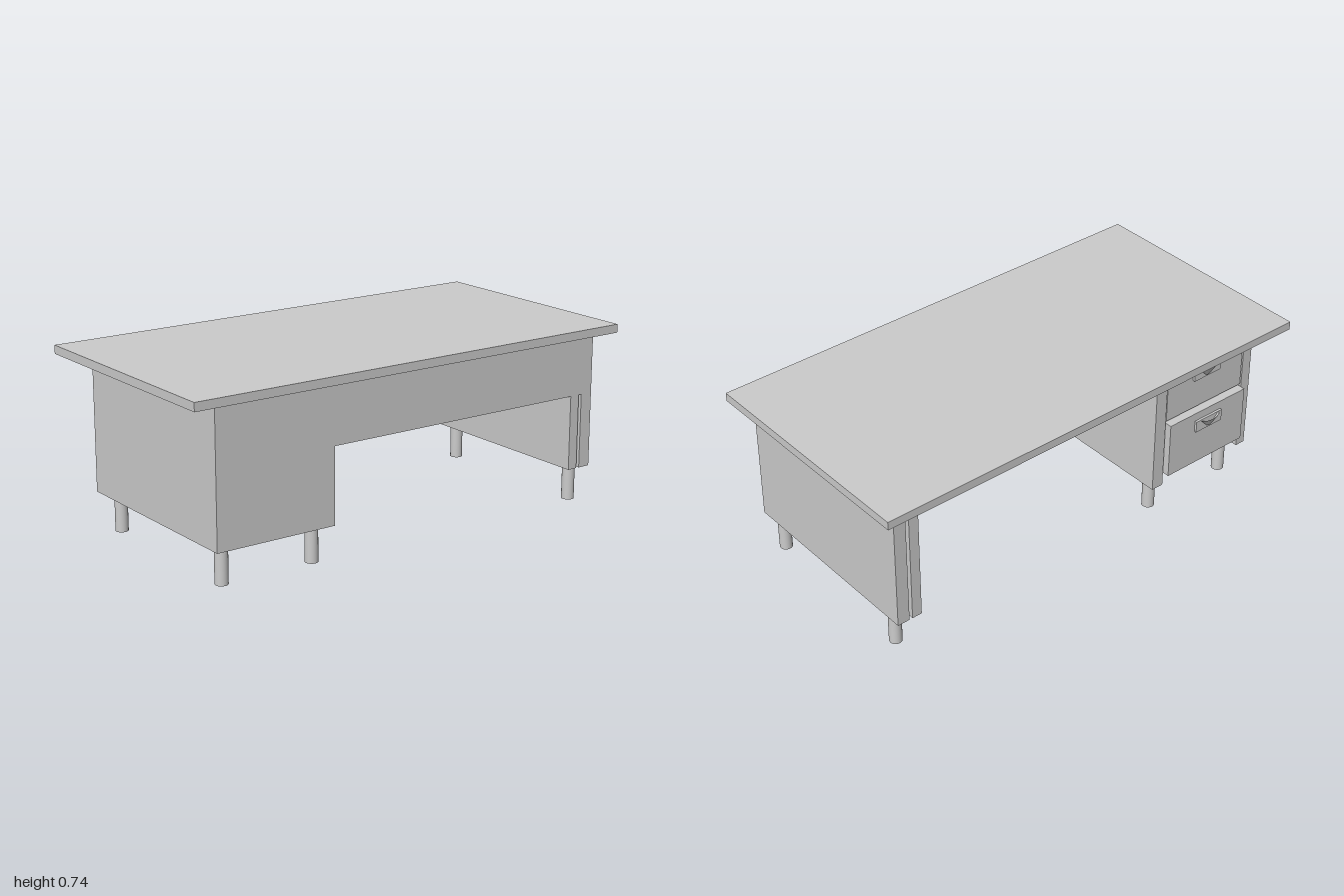
import * as THREE from 'three';

export function createModel() {
  const desk = new THREE.Group();
  desk.name = 'desk';
  const grey = new THREE.MeshStandardMaterial({ color: 0xcccccc });
  const greyDouble = new THREE.MeshStandardMaterial({ color: 0xcccccc, side: THREE.DoubleSide });

  // Box given by its limits on each axis
  const box = (name, x0, x1, y0, y1, z0, z1, parent = desk) => {
    const mesh = new THREE.Mesh(new THREE.BoxGeometry(x1 - x0, y1 - y0, z1 - z0), grey);
    mesh.position.set((x0 + x1) / 2, (y0 + y1) / 2, (z0 + z1) / 2);
    mesh.name = name;
    parent.add(mesh);
    return mesh;
  };

  const top = 0.705, base = 0.15, front = 0.465, back = -0.415;

  box('tabletop', -1, 1, top, 0.74, -0.51, 0.51);

  // Front: L-shaped panel closing the pedestal and the knee space
  const outline = new THREE.Shape([
    [-0.845, base], [-0.42, base], [-0.42, 0.46], [0.86, 0.46], [0.86, top], [-0.845, top],
  ].map(([x, y]) => new THREE.Vector2(x, y)));
  // Small return so the cut-out lines up with the pedestal side
  const frontPanel = new THREE.Mesh(
    new THREE.ExtrudeGeometry(outline, { depth: 0.035, bevelEnabled: false }), grey);
  frontPanel.position.z = front - 0.035;
  frontPanel.name = 'frontPanel';
  desk.add(frontPanel);

  // Pedestal sides
  box('pedestalOuterSide', -0.89, -0.845, base, top, back, front);
  box('pedestalInnerSide', -0.425, -0.37, base, top, back, front);

  // Double-walled support on the other side, with a narrow groove at its ends
  box('supportOuterWall', 0.857, 0.91, base, top, back, front);
  box('supportInnerWall', 0.80, 0.843, base, top, back, front);
  box('supportCore', 0.843, 0.857, base, top, back + 0.03, front - 0.03);

  // Drawer carcass and the two drawer fronts, the lower one standing proud
  box('drawerCarcass', -0.845, -0.425, 0.215, top, back + 0.02, front - 0.035);
  box('upperDrawerFront', -0.84, -0.43, 0.46, top, back + 0.002, back + 0.02);
  box('lowerDrawerFront', -0.84, -0.43, 0.205, 0.45, back - 0.025, back + 0.02);

  // Cup pulls: a plate with a half-round cup tapering downwards
  const addPull = (name, y, z) => {
    const pull = new THREE.Group();
    pull.name = name;
    box('pullPlate', -0.07, 0.07, -0.025, 0.025, -0.01, 0.002, pull);
    const cup = new THREE.Mesh(
      new THREE.CylinderGeometry(0.05, 0.012, 0.04, 20, 1, true, Math.PI / 2, Math.PI), greyDouble);
    cup.scale.z = 0.5;
    cup.position.set(0, 0.005, -0.01);
    cup.name = 'pullCup';
    pull.add(cup);
    pull.position.set(-0.635, y, z);
    desk.add(pull);
  };
  addPull('upperPull', 0.622, back);
  addPull('lowerPull', 0.389, back - 0.025);

  // Round legs
  const legGeometry = new THREE.CylinderGeometry(0.026, 0.026, 0.215, 24);
  for (const x of [-0.83, -0.43, 0.865]) {
    for (const z of [0.395, -0.332]) {
      const leg = new THREE.Mesh(legGeometry, grey);
      leg.position.set(x, 0.1075, z);
      leg.name = 'leg';
      desk.add(leg);
    }
  }
  return desk;
}
